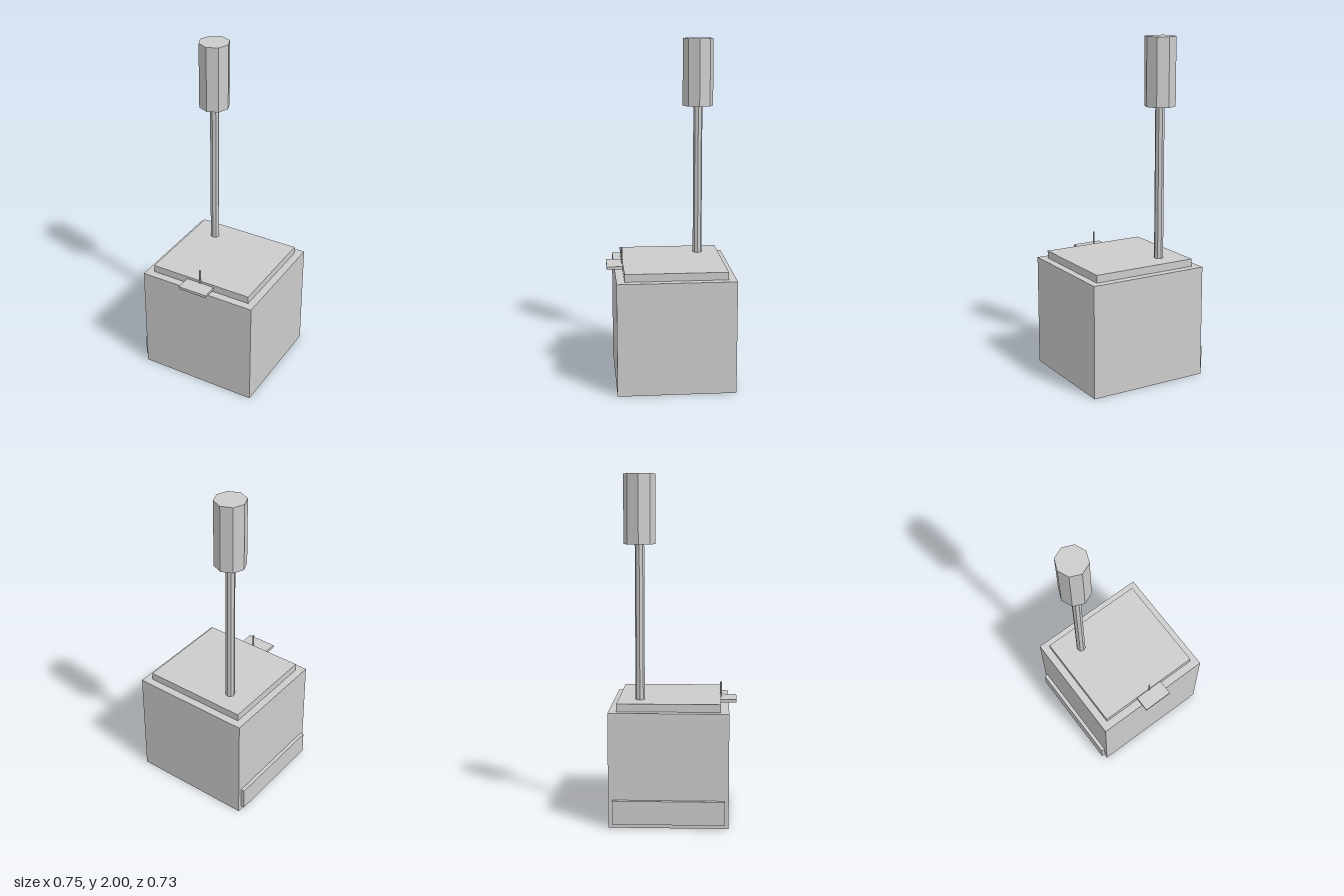
import * as THREE from 'three';

export function createModel() {
  const model = new THREE.Group();
  const grey = new THREE.MeshStandardMaterial({ color: 0xcccccc, flatShading: true });
  grey.name = 'plainGrey';

  function add(name, geometry, x, y, z) {
    const mesh = new THREE.Mesh(geometry, grey);
    mesh.name = name;
    mesh.position.set(x, y, z);
    model.add(mesh);
  }

  // Box given by its minimum and maximum corners
  function box(name, [x0, y0, z0], [x1, y1, z1]) {
    add(name, new THREE.BoxGeometry(x1 - x0, y1 - y0, z1 - z0),
      (x0 + x1) / 2, (y0 + y1) / 2, (z0 + z1) / 2);
  }

  // Upright eight-sided post between two heights
  function post(name, radius, x, z, y0, y1) {
    add(name, new THREE.CylinderGeometry(radius, radius, y1 - y0, 8), x, (y0 + y1) / 2, z);
  }

  // Main block with its raised lid
  box('body', [-0.355, 0, -0.367], [0.375, 0.665, 0.319]);
  box('lid', [-0.31, 0.665, -0.321], [0.33, 0.71, 0.272]);

  // Low panel on the right side
  box('sidePanel', [-0.377, 0.025, -0.343], [-0.355, 0.162, 0.296]);

  // Ledge over the front edge, with a thin pin
  box('frontLedge', [-0.08, 0.678, 0.182], [0.1, 0.695, 0.365]);
  post('pin', 0.005, 0.01, 0.273, 0.69, 2 * 0.3925);

  // Tall stem carrying the octagonal head
  post('stem', 0.027, -0.161, -0.195, 0.71, 1.605);
  post('head', 0.091, -0.161, -0.195, 1.605, 2);

  return model;
}
